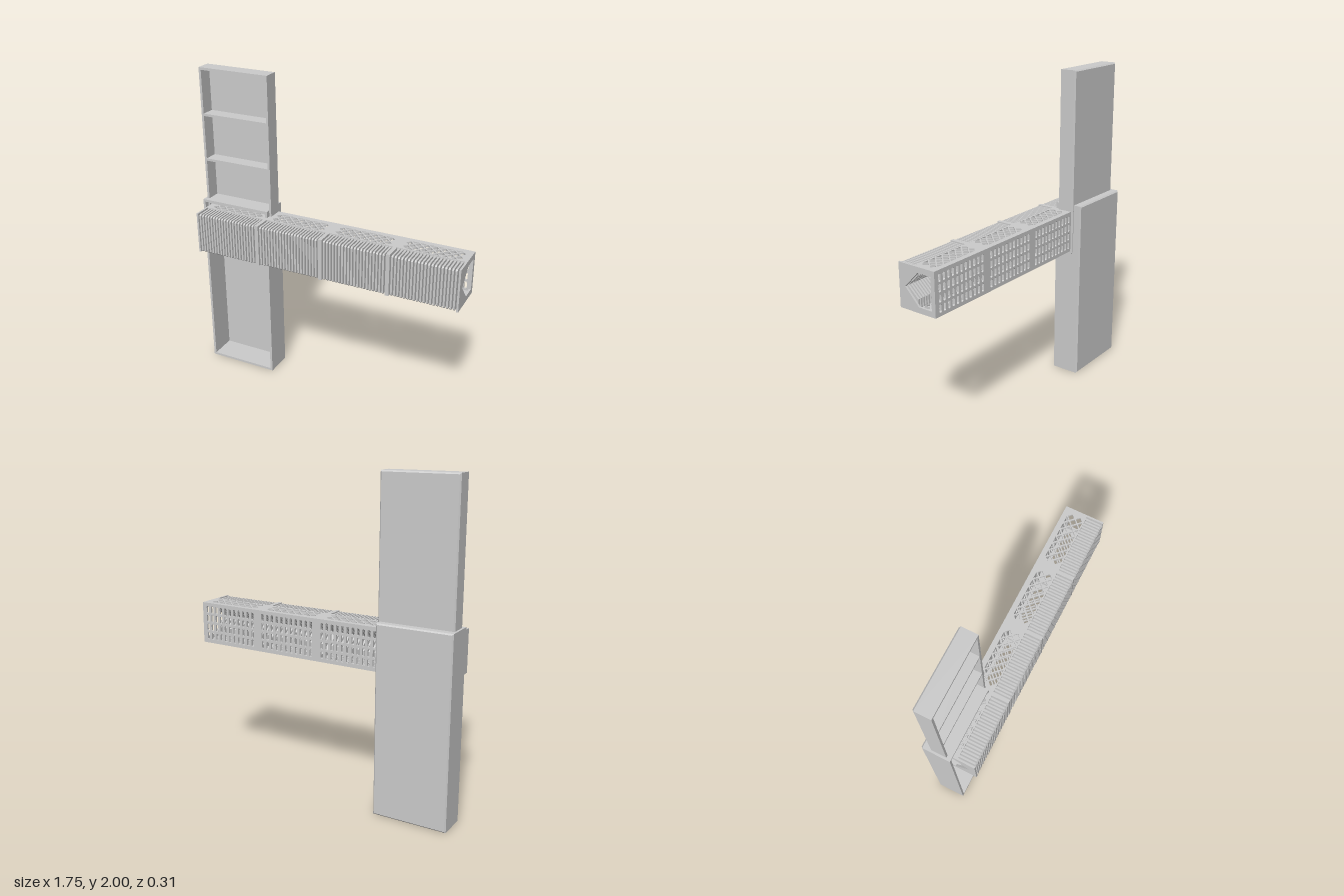
import * as THREE from 'three';

const grey = new THREE.MeshStandardMaterial({ color: 0xcccccc, flatShading: true, side: THREE.DoubleSide });

function add(parent, geometry, name, x = 0, y = 0, z = 0) {
  const mesh = new THREE.Mesh(geometry, grey);
  mesh.name = name;
  mesh.position.set(x, y, z);
  parent.add(mesh);
  return mesh;
}

const loop = (points, Type = THREE.Shape) => new Type(points.map(([x, y]) => new THREE.Vector2(x, y)));
const rect = (x0, y0, x1, y1) => [[x0, y0], [x1, y0], [x1, y1], [x0, y1]];

// flat plate with holes, extruded along +z
function plate(outline, holes, depth) {
  const shape = loop(outline);
  shape.holes = holes.map(h => loop(h, THREE.Path));
  return new THREE.ExtrudeGeometry(shape, { depth, bevelEnabled: false });
}

// plate drawn in (z, y), thickness running along +x from 0
function crossPlate(outline, holes, depth) {
  return plate(outline, holes, depth).rotateY(-Math.PI / 2).translate(depth, 0, 0);
}

// tray open at the front, with softened edges at the back
function tray(name, x0, x1, y0, y1, zBack, zFront, shelves) {
  const g = new THREE.Group();
  g.name = name;
  const t = 0.015, b = 0.008;
  add(g, plate(rect(x0, y0, x1, y1), [rect(x0 + t, y0 + t, x1 - t, y1 - t)], zFront - zBack - b),
    name + 'Walls', 0, 0, zBack + b);
  add(g, new THREE.BoxGeometry(x1 - x0 - 0.002, y1 - y0 - 0.002, t - b), name + 'Floor',
    (x0 + x1) / 2, (y0 + y1) / 2, zBack + b + (t - b) / 2);
  // chamfered back panel
  const back = new THREE.BoxGeometry(x1 - x0, y1 - y0, b);
  const p = back.attributes.position;
  for (let i = 0; i < p.count; i++) {
    if (p.getZ(i) < 0) p.setXY(i, p.getX(i) - Math.sign(p.getX(i)) * b, p.getY(i) - Math.sign(p.getY(i)) * b);
  }
  back.computeVertexNormals();
  add(g, back, name + 'Back', (x0 + x1) / 2, (y0 + y1) / 2, zBack + b / 2);
  for (const y of shelves) {
    add(g, new THREE.BoxGeometry(x1 - x0 - 2 * t, t, zFront - zBack - t), name + 'Shelf',
      (x0 + x1) / 2, y, (zBack + t + zFront) / 2);
  }
  return g;
}

// comb dimensions
const W = 0.4275, Y0 = 0.862, Y1 = 1.125, YM = (Y0 + Y1) / 2;
const Z0 = -0.096, ZM = 0.05, Z1 = 0.157, T = 0.012;
const channel = [[-0.07, YM - 0.097], [0.022, YM - 0.097], [0.115, YM], [0.022, YM + 0.097], [-0.07, YM + 0.097]];

// criss-cross plate, drawn in (x, -z)
function latticeGeometry() {
  const p = 0.0525, r = p / 2 - 0.0055, n = 7, cz = 0.011, holes = [];
  const diamond = (x, y) => holes.push([[x - r, y], [x, y - r], [x + r, y], [x, y + r]]);
  for (let i = 0; i < n; i++) {
    const x = W / 2 + (i - (n - 1) / 2) * p;
    diamond(x, cz - p / 2);
    diamond(x, cz + p / 2);
    if (i < n - 1) {
      const m = x + p / 2;
      diamond(m, cz);
      for (const s of [-1, 1]) {
        holes.push([[m - r, cz + s * p], [m + r, cz + s * p], [m, cz + s * (p - r)]]);
      }
    }
  }
  return plate(rect(0, -ZM, W, -Z0), holes, T).rotateX(-Math.PI / 2);
}

// back plate with rows of upright slots with clipped corners
function slottedGeometry() {
  const holes = [], cols = 11, rows = 4, hw = 0.009, hh = 0.023, c = 0.005;
  for (let i = 0; i < cols; i++) {
    for (let j = 0; j < rows; j++) {
      const x = W / 2 + (i - (cols - 1) / 2) * 0.035;
      const y = YM + (j - (rows - 1) / 2) * 0.058;
      holes.push([[x - hw + c, y - hh], [x + hw - c, y - hh], [x + hw, y - hh + c], [x + hw, y + hh - c],
        [x + hw - c, y + hh], [x - hw + c, y + hh], [x - hw, y + hh - c], [x - hw, y - hh + c]]);
    }
  }
  return plate(rect(0, Y0, W, Y1), holes, T);
}

export function createModel() {
  const model = new THREE.Group();
  model.name = 'combWithSlidingCase';

  // two telescoping trays
  model.add(tray('lowerTray', -0.875, -0.412, 0, 1.165, -0.157, 0.025, []));
  model.add(tray('upperTray', -0.862, -0.398, 0.843, 2, -0.107, -0.004, [1.139, 1.425, 1.711]));

  const lattice = latticeGeometry();
  const slotted = slottedGeometry();
  const wall = crossPlate(rect(Z0, Y0, Z1, Y1), [channel], T);
  const half = 0.065, finT = 0.011;
  const fin = crossPlate([[ZM - 0.006, Y0 + 0.004], [Z1 - 0.008, Y0 + 0.004], [Z1, Y0 + 0.012], [Z1, Y1 - 0.012],
    [Z1 - 0.008, Y1 - 0.004], [ZM - 0.006, Y1 - 0.004], [ZM - 0.006, YM + half], [0.115, YM], [ZM - 0.006, YM - half]],
  [], finT);

  // four comb sections in a row
  for (let s = 0; s < 4; s++) {
    const section = new THREE.Group();
    section.name = 'combSection';
    section.position.x = -0.84 + s * W;
    add(section, lattice, 'topLattice', 0, Y1 - T, 0);
    add(section, lattice, 'bottomLattice', 0, Y0, 0);
    add(section, slotted, 'slottedBack', 0, 0, Z0);
    add(section, wall, 'endWall');
    add(section, wall, 'endWall', W - T);
    const n = 20, pitch = (W - 2 * T) / (n + 0.5);
    for (let i = 0; i < n; i++) {
      add(section, fin, 'fin', T + (i + 0.75) * pitch - finT / 2);
    }
    model.add(section);
  }
  return model;
}
